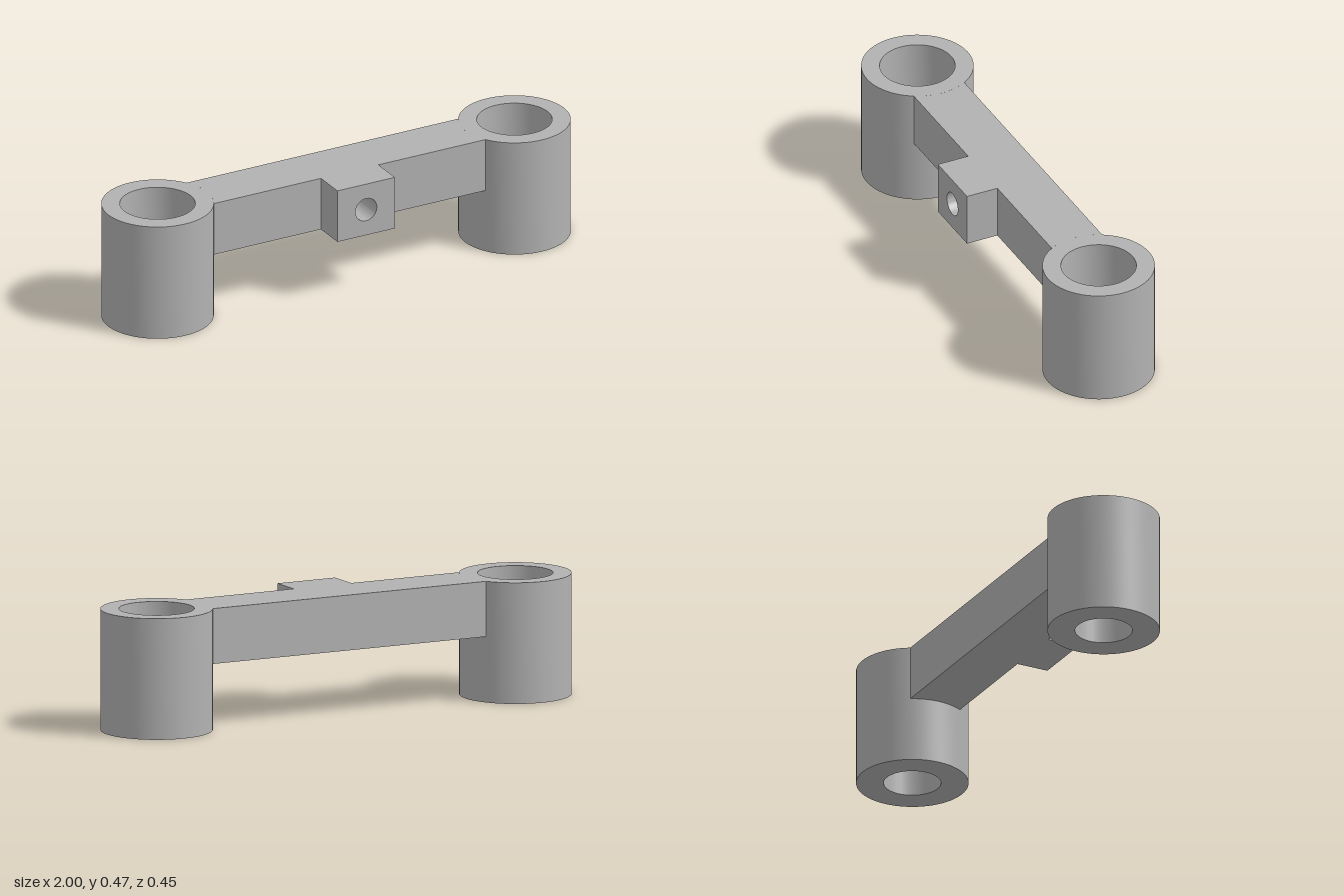
import * as THREE from 'three';
import { toCreasedNormals } from 'three/addons/utils/BufferGeometryUtils.js';

const TOP = 0.473;      // shared top plane
const BAR_BOTTOM = 0.257;
const MID_Z = -0.011;   // depth line through the sleeves and bar
const SLEEVE_X = 0.784;
const SLEEVE_R = 0.216;
const BAR_HALF = 0.108;

export function createModel() {
  const group = new THREE.Group();
  group.name = 'bracket';
  const grey = new THREE.MeshStandardMaterial({ color: 0xb2b2b2 });
  grey.name = 'grey';

  const add = (name, geometry, x, y, z) => {
    const mesh = new THREE.Mesh(toCreasedNormals(geometry, 0.6), grey);
    mesh.name = name;
    mesh.position.set(x, y, z);
    group.add(mesh);
    return mesh;
  };

  // End sleeves: a wide bore from the top stepping down to a narrower one
  const boreR = 0.145, holeR = 0.11, stepY = 0.24;
  const profile = [
    [SLEEVE_R, 0], [SLEEVE_R, TOP], [boreR, TOP], [boreR, stepY],
    [holeR, stepY], [holeR, 0], [SLEEVE_R, 0],
  ].map(([r, y]) => new THREE.Vector2(r, y));
  for (const [name, side] of [['leftSleeve', 1], ['rightSleeve', -1]]) {
    add(name, new THREE.LatheGeometry(profile, 72), side * SLEEVE_X, 0, MID_Z);
  }

  // Connecting bar, with ends hollowed to fit round the sleeves
  const a = Math.asin(BAR_HALF / SLEEVE_R);
  const plan = new THREE.Shape();
  plan.absarc(SLEEVE_X, 0, SLEEVE_R, Math.PI - a, Math.PI + a, false);
  plan.absarc(-SLEEVE_X, 0, SLEEVE_R, -a, a, false);
  const bar = new THREE.ExtrudeGeometry(plan, {
    depth: TOP - BAR_BOTTOM, bevelEnabled: false, curveSegments: 16,
  });
  bar.rotateX(-Math.PI / 2);
  add('connectingBar', bar, 0, BAR_BOTTOM, MID_Z);

  // Front lug with a blind round hole that ends at the bar
  const w = 0.126, h = TOP - BAR_BOTTOM;
  const face = new THREE.Shape([
    new THREE.Vector2(-w, 0), new THREE.Vector2(w, 0),
    new THREE.Vector2(w, h), new THREE.Vector2(-w, h),
  ]);
  face.holes.push(new THREE.Path().absarc(0, h / 2, 0.047, 0, Math.PI * 2, true));
  const lugBack = MID_Z + BAR_HALF;
  const lug = new THREE.ExtrudeGeometry(face, {
    depth: 0.227 - lugBack, bevelEnabled: false, curveSegments: 32,
  });
  add('frontLug', lug, 0, BAR_BOTTOM, lugBack);

  return group;
}
